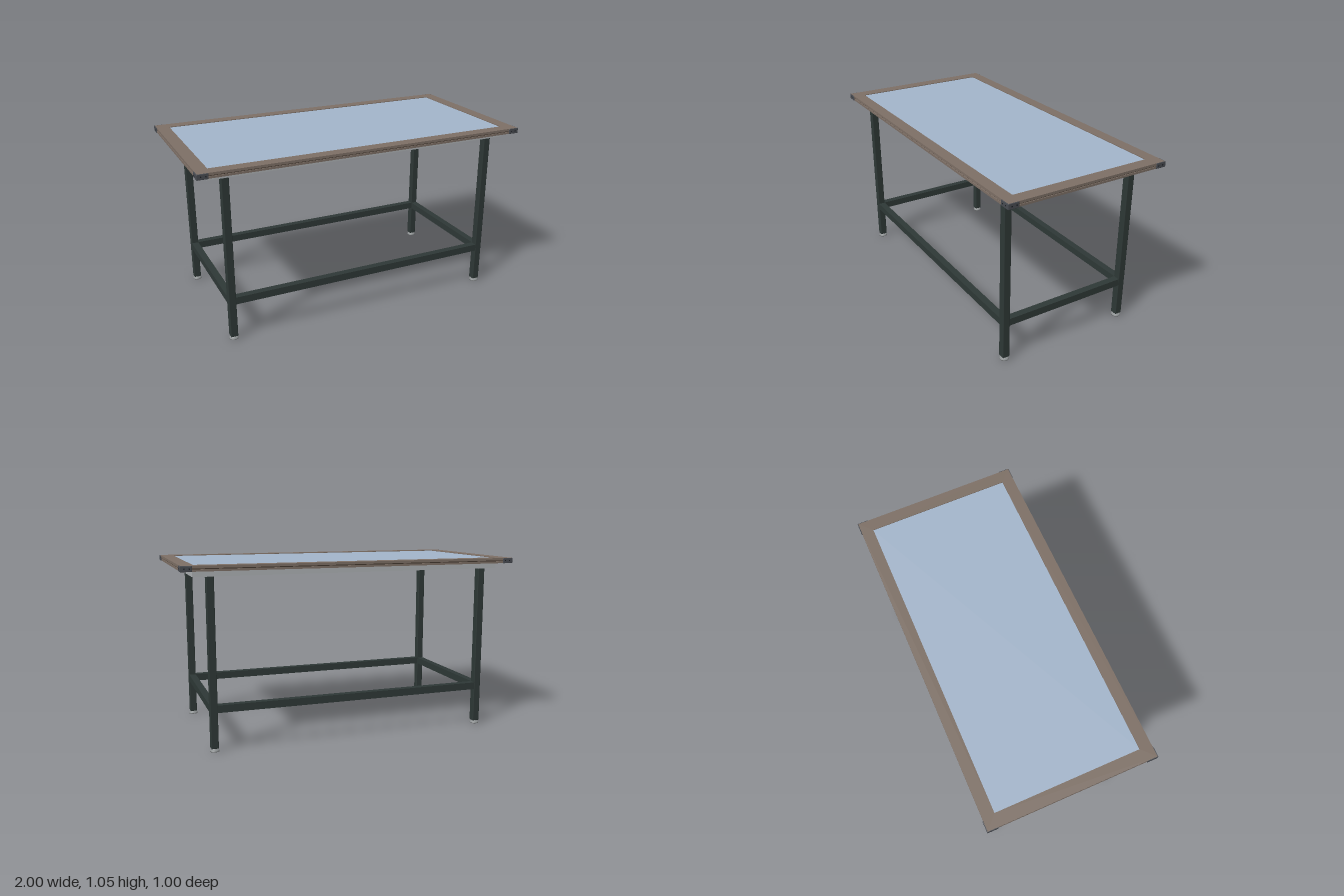
import * as THREE from 'three';
import { RoundedBoxGeometry } from 'three/addons/geometries/RoundedBoxGeometry.js';

const mat = (name, color) => {
  const m = new THREE.MeshStandardMaterial({ color });
  m.name = name;
  return m;
};

export function createModel() {
  const group = new THREE.Group();
  const steel = mat('dark green steel', 0x2e3836);
  const bronze = mat('bronze brown', 0x7d6f65);
  const shadowBrown = mat('groove brown', 0x43382f);
  const glass = mat('pale blue panel', 0xa3b5ca);
  const alu = mat('aluminium', 0xacb0b3);
  const corner = mat('corner grey', 0x484b51);
  const hole = mat('screw black', 0x1c1f24);
  const footGrey = mat('foot grey', 0x8b8f90);

  const add = (name, geo, material, x = 0, y = 0, z = 0) => {
    const m = new THREE.Mesh(geo, material);
    m.name = name;
    m.position.set(x, y, z);
    group.add(m);
    return m;
  };

  // Rectangular ring lying flat, given by half sizes and height range
  const rect = (C, x, z) => {
    const p = new C();
    p.moveTo(-x, -z); p.lineTo(x, -z); p.lineTo(x, z); p.lineTo(-x, z); p.closePath();
    return p;
  };
  const ring = (name, ox, oz, ix, iz, y0, y1, material) => {
    const s = rect(THREE.Shape, ox, oz);
    s.holes.push(rect(THREE.Path, ix, iz));
    const g = new THREE.ExtrudeGeometry(s, { depth: y1 - y0, bevelEnabled: false });
    g.rotateX(-Math.PI / 2);
    add(name, g, material, 0, y0, 0);
  };

  // Table top: framed panel with a groove round the rim
  ring('frameLower', 0.996, 0.496, 0.922, 0.426, 1.019, 1.031, bronze);
  ring('frameGroove', 0.991, 0.491, 0.922, 0.426, 1.031, 1.036, shadowBrown);
  ring('frameUpper', 0.996, 0.496, 0.922, 0.426, 1.036, 1.050, bronze);
  add('panel', new THREE.BoxGeometry(1.844, 0.014, 0.852), glass, 0, 1.039, 0);

  // Apron under the frame
  for (const s of [-1, 1]) {
    add('longApron', new THREE.BoxGeometry(1.856, 0.034, 0.02), alu, 0, 1.002, s * 0.419);
    add('shortApron', new THREE.BoxGeometry(0.02, 0.034, 0.818), alu, s * 0.918, 1.002, 0);
  }

  // Corner plates with two screws on each face
  const plate = new RoundedBoxGeometry(0.064, 0.032, 0.006, 2, 0.003);
  const screw = new THREE.CylinderGeometry(0.004, 0.004, 0.002, 12).rotateX(Math.PI / 2);
  for (const sx of [-1, 1]) for (const sz of [-1, 1]) {
    add('cornerPlate', plate, corner, sx * 0.968, 1.034, sz * 0.497);
    const side = add('cornerPlate', plate, corner, sx * 0.997, 1.034, sz * 0.468);
    side.rotation.y = Math.PI / 2;
    for (const d of [0.022, 0.05]) {
      add('screw', screw, hole, sx * (1 - d), 1.034, sz * 0.4995);
      add('screw', screw, hole, sx * 0.9995, 1.034, sz * (0.5 - d)).rotation.y = Math.PI / 2;
    }
  }

  // Legs with levelling feet
  const leg = new RoundedBoxGeometry(0.043, 0.968, 0.043, 2, 0.004);
  const foot = new THREE.LatheGeometry(
    [[0, 0], [0.027, 0], [0.027, 0.006], [0.022, 0.010], [0.011, 0.012], [0.011, 0.02]]
      .map(([x, y]) => new THREE.Vector2(x, y)), 24);
  for (const x of [-0.832, 0.832]) for (const z of [-0.403, 0.403]) {
    add('leg', leg, steel, x, 0.502, z);
    add('foot', foot, footGrey, x, 0, z);
  }

  // Stretchers between the legs
  const longRail = new THREE.BoxGeometry(1.624, 0.043, 0.041);
  const shortRail = new THREE.BoxGeometry(0.041, 0.043, 0.766);
  for (const s of [-1, 1]) {
    add('longStretcher', longRail, steel, 0, 0.246, s * 0.403);
    add('shortStretcher', shortRail, steel, s * 0.832, 0.246, 0);
  }
  return group;
}
